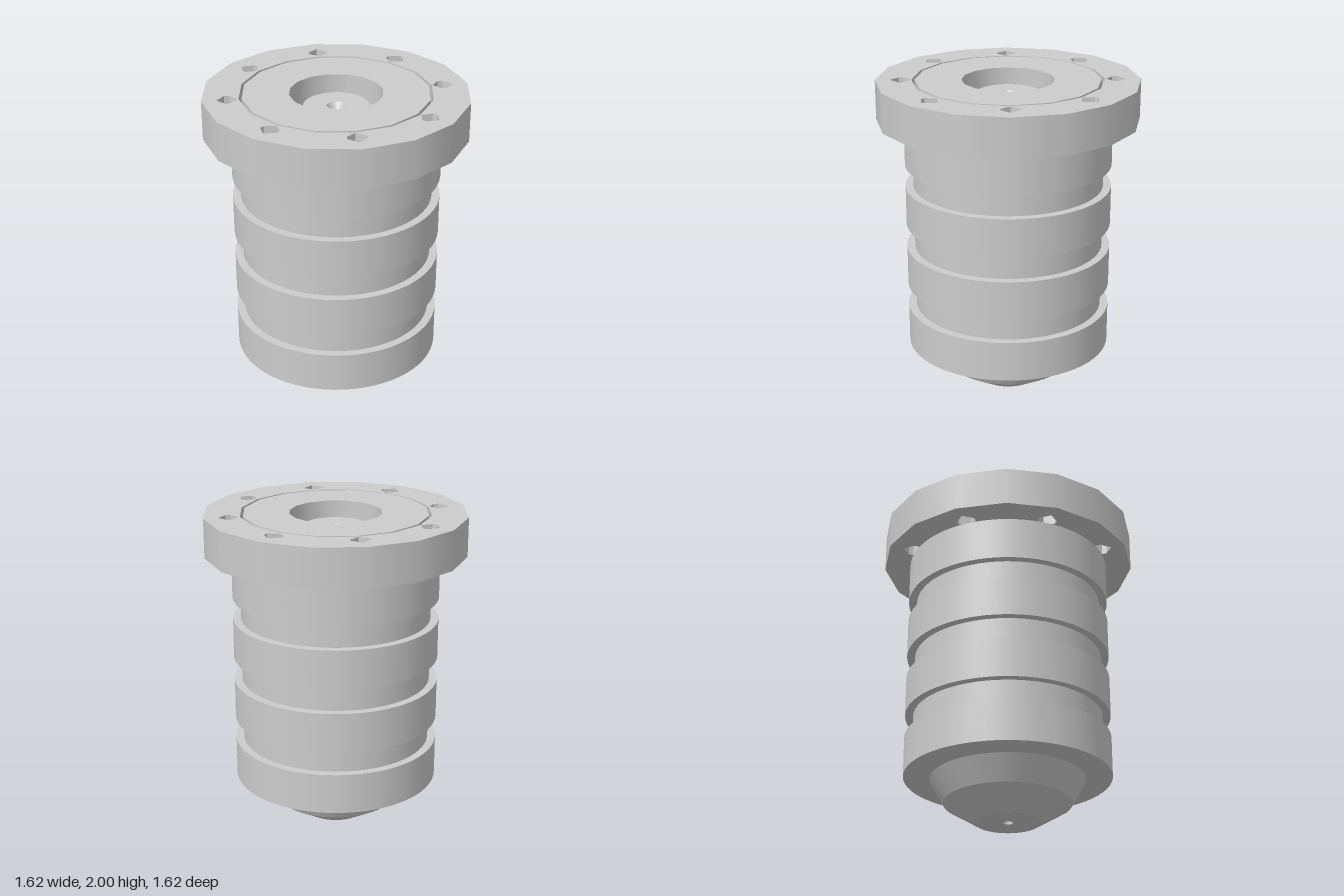
import * as THREE from 'three';
import { mergeGeometries } from 'three/addons/utils/BufferGeometryUtils.js';

const steel = new THREE.MeshStandardMaterial({ color: 0xcccccc });
steel.name = 'grey steel';

// Revolve a profile, each segment separate so its edges stay sharp.
// Outer walls run upward, inner walls run downward.
function revolve(profile, sides) {
  const parts = [];
  for (let i = 0; i < profile.length - 1; i++) {
    const pts = [profile[i], profile[i + 1]].map(([r, y]) => new THREE.Vector2(r, y));
    parts.push(new THREE.LatheGeometry(pts, sides));
  }
  return mergeGeometries(parts);
}

// Corners of a regular polygon with a vertex on each axis
function polygon(r, sides) {
  return Array.from({ length: sides }, (_, i) => {
    const a = (i / sides) * Math.PI * 2;
    return new THREE.Vector2(r * Math.cos(a), r * Math.sin(a));
  });
}

export function createModel() {
  const group = new THREE.Group();
  const add = (name, geometry) => {
    const mesh = new THREE.Mesh(geometry, steel);
    mesh.name = name;
    group.add(mesh);
  };

  const TOP = 2, UNDER = 1.755, BODY_TOP = 1.745, BODY_BOTTOM = 0.28;

  // Six-sided bolt holes, repeated around the flange
  const hole = [[0.719, 0], [0.668, 0.058], [0.638, 0.058], [0.595, 0], [0.638, -0.058], [0.668, -0.058]];
  const holes = Array.from({ length: 8 }, (_, k) => hole.map(([x, y]) =>
    new THREE.Vector2(x, y).rotateAround(new THREE.Vector2(), k * Math.PI / 4)));

  // Flange: pierced faces above and below, smooth walls, hole walls
  const face = new THREE.Shape(polygon(0.81, 16));
  face.holes = [polygon(0.588, 16), ...holes].map((pts) => new THREE.Path(pts));
  const flange = [
    new THREE.ShapeGeometry(face).rotateX(-Math.PI / 2).translate(0, TOP, 0),
    new THREE.ShapeGeometry(face).rotateX(Math.PI / 2).translate(0, UNDER, 0),
    revolve([[0.81, UNDER], [0.81, TOP]], 16),
    revolve([[0.588, TOP], [0.588, UNDER]], 16),
  ];
  for (const pts of holes) {
    pts.forEach((p, i) => {
      const q = pts[(i + 1) % pts.length];
      const wall = new THREE.PlaneGeometry(p.distanceTo(q), TOP - UNDER);
      wall.rotateY(Math.atan2(q.y - p.y, q.x - p.x) + Math.PI);
      wall.translate((p.x + q.x) / 2, (TOP + UNDER) / 2, -(p.y + q.y) / 2);
      flange.push(wall);
    });
  }
  add('flange', mergeGeometries(flange));

  // Locating ring sitting inside the flange
  add('innerRing', revolve([
    [0.285, UNDER], [0.57, UNDER], [0.57, TOP - 0.01], [0.57, TOP], [0.285, TOP], [0.285, UNDER],
  ], 16));

  // Ribbed body with three grooves and a central bore
  const profile = [[0.215, BODY_BOTTOM], [0.642, BODY_BOTTOM]];
  for (const [low, high] of [[0.535, 0.68], [0.935, 1.085], [1.335, 1.475]]) {
    profile.push([0.642, low], [0.592, low], [0.592, high], [0.642, high]);
  }
  profile.push([0.642, BODY_TOP], [0.215, BODY_TOP], [0.215, BODY_BOTTOM]);
  add('ribbedBody', revolve(profile, 64));

  // Tapered nose below the body
  add('nose', revolve([[0.2, 0], [0.395, 0.12], [0.48, 0.27], [0.2, 0.27]], 64));

  // Central tube with a funnel mouth
  add('centreTube', revolve([
    [0.03, 0], [0.2, 0], [0.2, 1.915], [0.058, 1.915], [0.03, 1.87], [0.03, 0],
  ], 48));

  return group;
}
